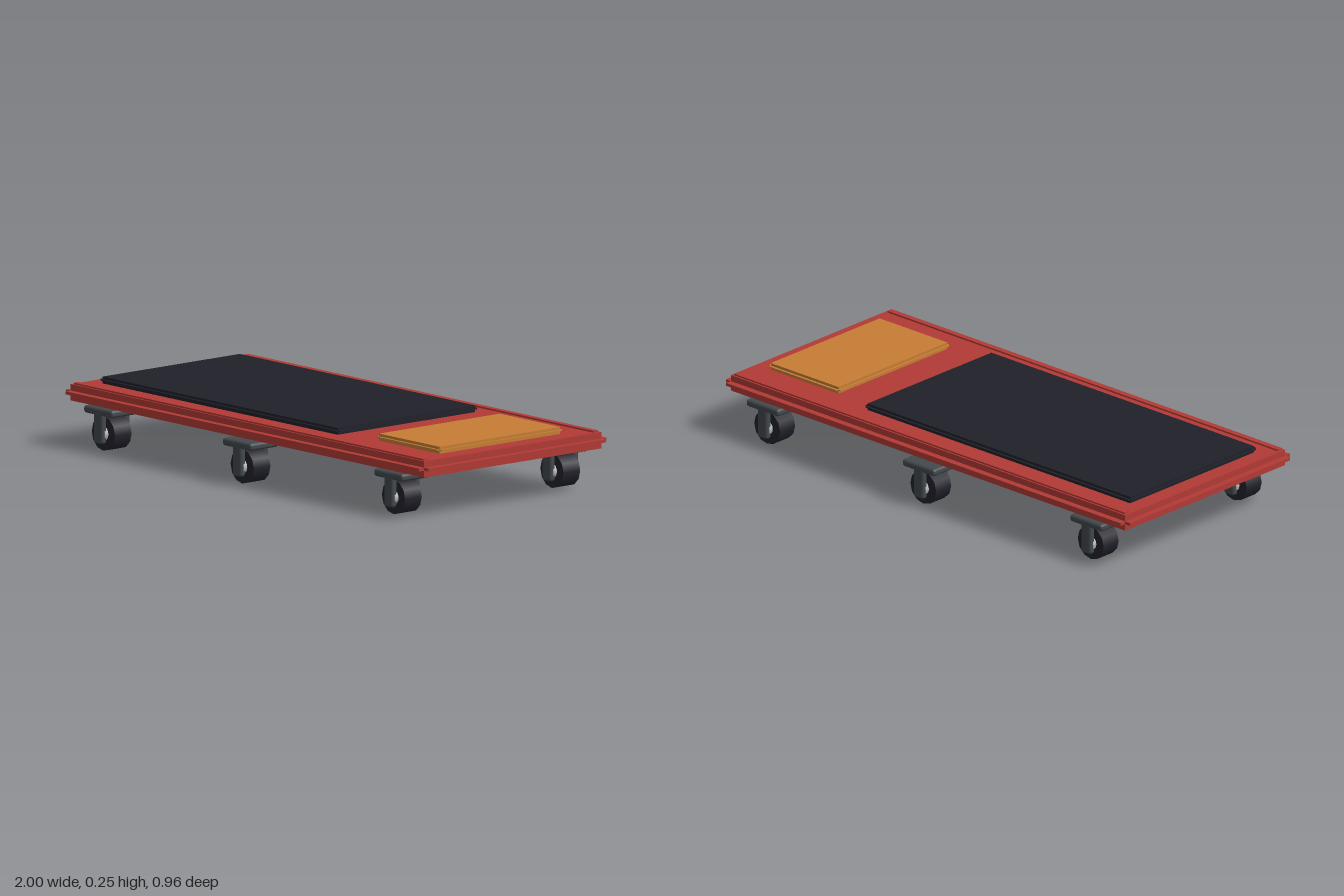
import * as THREE from 'three';
import { RoundedBoxGeometry } from 'three/addons/geometries/RoundedBoxGeometry.js';

const mat = (name, color) => new THREE.MeshStandardMaterial({ name, color });

export function createModel() {
  const red = mat('red deck', 0xb23a35);
  const black = mat('black padding', 0x20202a);
  const orange = mat('orange padding', 0xc67d34);
  const rubber = mat('wheel rubber', 0x22222c);
  const steel = mat('dark steel', 0x43494c);
  const silver = mat('silver hub', 0xb4b6b8);

  const model = new THREE.Group();
  model.name = 'wheeledCreeper';

  function add(parent, name, geometry, material, x, y, z) {
    const mesh = new THREE.Mesh(geometry, material);
    mesh.name = name;
    mesh.position.set(x, y, z);
    parent.add(mesh);
    return mesh;
  }

  // A slab with a thin lip on all four edges, open at the corners
  function lippedSlab(name, material, x0, x1, y0, y1, halfZ, lip, lipY, lipH) {
    const group = new THREE.Group();
    group.name = name;
    const cx = (x0 + x1) / 2, w = x1 - x0, d = halfZ * 2;
    add(group, name + 'Body', new THREE.BoxGeometry(w, y1 - y0, d), material, cx, (y0 + y1) / 2, 0);
    for (const s of [-1, 1]) {
      add(group, name + 'SideLip', new THREE.BoxGeometry(w, lipH, lip), material, cx, lipY, s * (halfZ + lip / 2));
      add(group, name + 'EndLip', new THREE.BoxGeometry(lip, lipH, d), material, cx + s * (w + lip) / 2, lipY, 0);
    }
    model.add(group);
  }

  // Deck and the two pads
  lippedSlab('deck', red, -0.975, 0.975, 0.161, 0.221, 0.425, 0.025, 0.192, 0.011);
  lippedSlab('bodyPad', black, -0.91, 0.388, 0.221, 0.246, 0.329, 0.01, 0.235, 0.004);
  lippedSlab('headPad', orange, 0.57, 0.904, 0.221, 0.247, 0.289, 0.01, 0.235, 0.004);

  // Low rails along the long edges of the deck
  for (const s of [-1, 1]) {
    add(model, 'edgeRail', new THREE.BoxGeometry(1.93, 0.006, 0.023), red, 0, 0.224, s * 0.407);
  }

  // Casters: plate, two fork legs, wheel and hub
  const plateGeo = new RoundedBoxGeometry(0.16, 0.028, 0.137, 3, 0.011);
  const legGeo = new RoundedBoxGeometry(0.05, 0.125, 0.026, 3, 0.011);
  const wheelGeo = new THREE.CylinderGeometry(0.064, 0.064, 0.08, 12).rotateX(Math.PI / 2);
  const hubGeo = new THREE.CylinderGeometry(0.028, 0.028, 0.112, 16).rotateX(Math.PI / 2);

  for (const x of [-0.8, 0, 0.8]) {
    for (const s of [-1, 1]) {
      const caster = new THREE.Group();
      caster.name = 'caster';
      caster.position.set(x, 0, s * (x === 0 ? 0.41 : 0.38));
      add(caster, 'mountPlate', plateGeo, steel, 0, 0.147, 0);
      add(caster, 'wheel', wheelGeo, rubber, 0, 0.064, 0);
      add(caster, 'hub', hubGeo, silver, 0, 0.064, 0);
      for (const side of [-1, 1]) {
        add(caster, 'forkLeg', legGeo, steel, 0, 0.091, side * 0.0555);
      }
      model.add(caster);
    }
  }
  return model;
}
